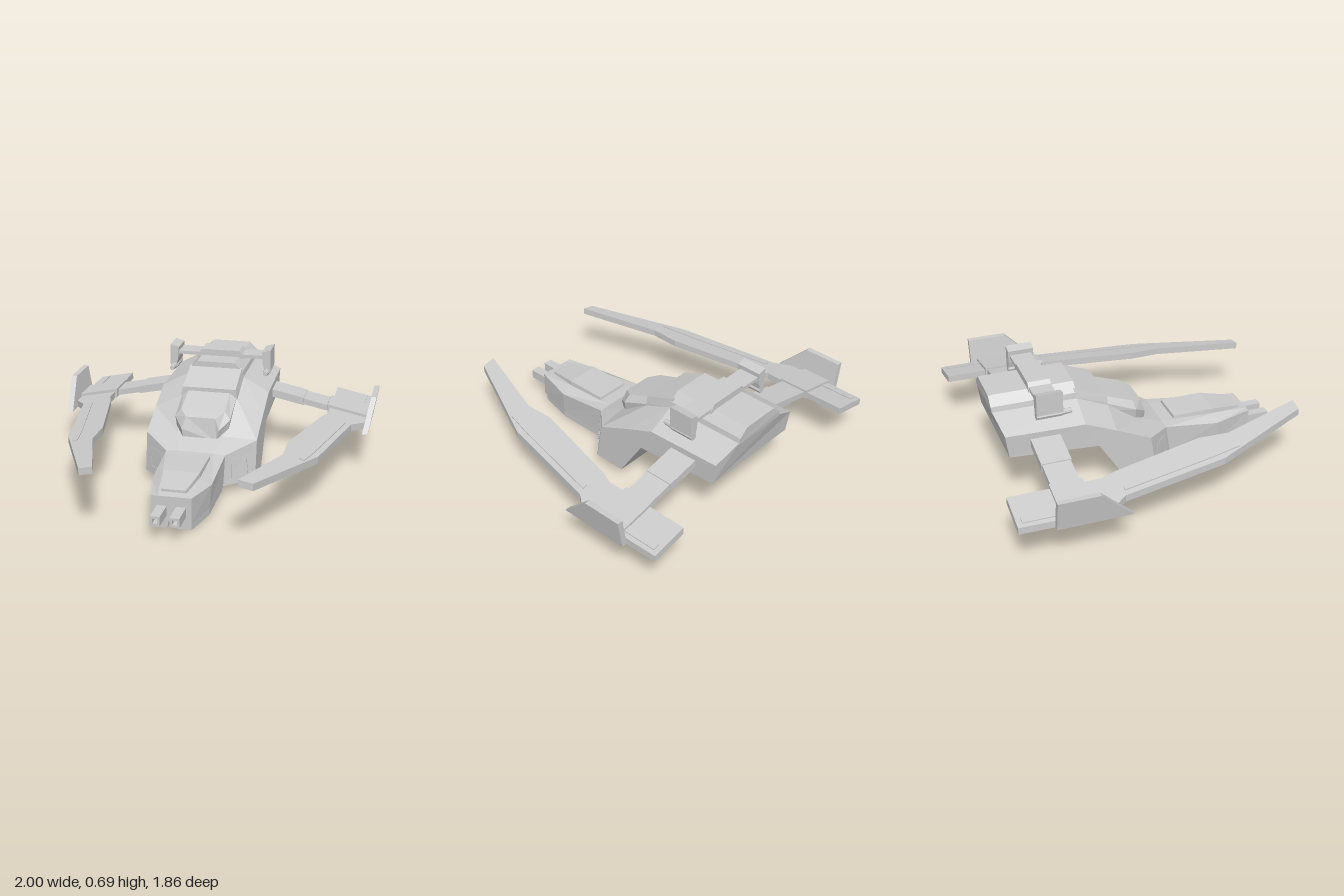
import * as THREE from 'three';

const material = new THREE.MeshStandardMaterial({ color: 0xcccccc, flatShading: true });

export function createModel() {
  const model = new THREE.Group();

  function add(name, geometry, parent = model) {
    const mesh = new THREE.Mesh(geometry, material);
    mesh.name = name;
    parent.add(mesh);
    return mesh;
  }

  function box(name, x0, x1, y0, y1, z0, z1, parent) {
    const g = new THREE.BoxGeometry(Math.abs(x1 - x0), y1 - y0, z1 - z0);
    g.translate((x0 + x1) / 2, (y0 + y1) / 2, (z0 + z1) / 2);
    return add(name, g, parent);
  }

  function extrude(points, depth, hole) {
    const shape = new THREE.Shape(points.map(([x, y]) => new THREE.Vector2(x, y)));
    if (hole) shape.holes.push(new THREE.Path(hole.map(([x, y]) => new THREE.Vector2(x, y))));
    return new THREE.ExtrudeGeometry(shape, { depth, bevelEnabled: false });
  }

  // Horizontal plate from an x,z outline
  function plate(points, y0, y1) {
    return extrude(points.map(([x, z]) => [x, -z]), y1 - y0).rotateX(-Math.PI / 2).translate(0, y0, 0);
  }

  function moveVertices(g, rule) {
    const p = g.attributes.position;
    const v = new THREE.Vector3();
    for (let i = 0; i < p.count; i++) {
      rule(v.fromBufferAttribute(p, i));
      p.setXYZ(i, v.x, v.y, v.z);
    }
    g.computeVertexNormals();
    return g;
  }

  // Symmetric loft, front to back, through half sections listed bottom to top as x,y,z
  function loft(sections) {
    const rings = sections.map(h => [...h, ...h.map(([x, y, z]) => [-x, y, z]).reverse()]);
    const n = rings[0].length;
    const out = [];
    for (let k = 0; k < rings.length - 1; k++) {
      for (let i = 0; i < n; i++) {
        const j = (i + 1) % n;
        const a = rings[k][i], b = rings[k][j], c = rings[k + 1][j], d = rings[k + 1][i];
        out.push(a, d, c, a, c, b);
      }
    }
    const last = rings[rings.length - 1];
    for (let i = 1; i < n - 1; i++) {
      out.push(rings[0][0], rings[0][i], rings[0][i + 1]);
      out.push(last[0], last[i + 1], last[i]);
    }
    const g = new THREE.BufferGeometry();
    g.setAttribute('position', new THREE.Float32BufferAttribute(out.flat(), 3));
    g.computeVertexNormals();
    return g;
  }

  // Main hull: narrow nose, flared shoulders, raised tail
  add('hull', loft([
    [[0.115, 0.05, 0.78], [0.115, 0.2, 0.78], [0.08, 0.2, 0.78]],
    [[0.165, 0.05, 0.55], [0.175, 0.19, 0.54], [0.11, 0.225, 0.56]],
    [[0.175, 0.05, 0.23], [0.18, 0.235, 0.2], [0.11, 0.24, 0.2]],
    [[0.34, 0.05, 0.08], [0.34, 0.285, 0.04], [0.14, 0.3, 0.06]],
    [[0.34, 0.05, -0.12], [0.34, 0.38, -0.17], [0.175, 0.46, -0.17]],
    [[0.34, 0.3, -0.28], [0.34, 0.46, -0.36], [0.18, 0.545, -0.36]],
    [[0.33, 0.33, -0.81], [0.335, 0.47, -0.83], [0.18, 0.55, -0.86]],
  ]));

  // Raised panel on the nose
  add('nosePanel', loft([
    [[0.075, 0.19, 0.73], [0.07, 0.222, 0.73]],
    [[0.112, 0.19, 0.54], [0.105, 0.255, 0.54]],
    [[0.112, 0.2, 0.27], [0.105, 0.255, 0.28]],
  ]));

  // Faceted canopy
  add('canopy', loft([
    [[0.1, 0.27, 0.085], [0.115, 0.34, 0.085], [0.09, 0.41, 0.065]],
    [[0.155, 0.29, 0.01], [0.17, 0.39, 0.01], [0.135, 0.435, 0]],
    [[0.17, 0.42, -0.18], [0.17, 0.47, -0.18], [0.13, 0.5, -0.18]],
  ]));

  // Sloped hatch and engine deck behind the canopy
  add('roofHatch', loft([
    [[0.178, 0.44, -0.17], [0.175, 0.475, -0.17], [0.165, 0.52, -0.17]],
    [[0.18, 0.52, -0.37], [0.178, 0.55, -0.37], [0.165, 0.6, -0.37]],
  ]));
  add('engineDeck', loft([
    [[0.18, 0.53, -0.36], [0.172, 0.58, -0.36], [0.12, 0.63, -0.36]],
    [[0.18, 0.54, -0.86], [0.172, 0.58, -0.865], [0.12, 0.63, -0.865]],
  ]));

  // Roof spoiler
  box('spoilerBar', -0.29, 0.29, 0.627, 0.648, -0.63, -0.5);
  add('spoilerCentre', extrude([[-0.16, 0.62], [0.16, 0.62], [0.12, 0.67], [-0.12, 0.67]], 0.135)
    .translate(0, 0, -0.633));

  for (const s of [1, -1]) {
    const side = s > 0 ? 'left' : 'right';
    const flip = pts => pts.map(([x, z]) => [s * x, z]);

    // Spoiler end plates with small guns
    add(side + 'SpoilerEnd', extrude(flip([[0.285, 0.56], [0.325, 0.56], [0.325, 0.69], [0.27, 0.675], [0.275, 0.6]]), 0.155)
      .translate(0, 0, -0.64));
    const gun = new THREE.CylinderGeometry(0.023, 0.023, 0.15, 8).rotateX(Math.PI / 2);
    add(side + 'RoofGun', gun.translate(s * 0.302, 0.55, -0.565));
    const muzzle = new THREE.CylinderGeometry(0.02, 0.014, 0.06, 8).rotateX(-Math.PI / 2);
    add(side + 'RoofMuzzle', muzzle.translate(s * 0.302, 0.55, -0.46));

    // Hollow square nose cannon
    const square = (r) => [[-r, -r], [r, -r], [r, r], [-r, r]];
    add(side + 'Cannon', extrude(square(0.028), 0.15, square(0.014)).translate(s * 0.055, 0.115, 0.78));

    // Belly skid with a chamfered edge
    const skid = flip([[0.025, 0.765], [0.11, 0.765], [0.165, 0.55], [0.165, 0.22], [0.12, 0.12], [0.025, 0.12]]);
    add(side + 'Skid', moveVertices(plate(skid, 0.012, 0.055), () => {}));
    add(side + 'SkidSole', plate(skid.map(([x, z]) => [s * 0.095 + (x - s * 0.095) * 0.9, 0.44 + (z - 0.44) * 0.98]), 0, 0.012));

    // Framed intake on the slanted shoulder
    const frame = extrude([[-0.065, -0.06], [0.065, -0.06], [0.06, 0.06], [-0.06, 0.06]], 0.012,
      [[-0.052, -0.048], [0.052, -0.048], [0.048, 0.048], [-0.048, 0.048]]);
    const intake = add(side + 'IntakeFrame', frame);
    intake.position.set(s * 0.252, 0.145, 0.134);
    intake.rotation.set(-0.12, s * 0.76, 0, 'YXZ');

    // Swept wing, built flat and then sheared downwards to the tip
    const wing = new THREE.Group();
    wing.name = side + 'Wing';
    model.add(wing);
    const droop = v => { v.y += 0.285 + (0.95 - Math.abs(v.x)) * 0.21; };
    const wingPlate = (name, pts, y0, y1) => add(name, moveVertices(plate(flip(pts), y0, y1), droop), wing);
    const wingBox = (name, x0, x1, z0, z1, y0, y1) =>
      wingPlate(name, [[x0, z0], [x1, z0], [x1, z1], [x0, z1]], y0, y1);

    wingPlate('blade', [
      [0.71, -0.93], [0.935, -0.93], [0.94, -0.41], [0.865, -0.31], [0.745, 0.33],
      [0.48, 0.925], [0.4, 0.925], [0.56, 0.43], [0.555, 0.25], [0.68, -0.31], [0.71, -0.39],
    ], -0.042, 0);
    wingPlate('bladeRidge', [
      [0.8, -0.3], [0.83, -0.3], [0.72, 0.28], [0.68, 0.45], [0.65, 0.44], [0.68, 0.26],
    ], -0.01, 0.006);
    wingBox('tailRidge', 0.87, 0.91, -0.9, -0.68, -0.01, 0.006);
    wingBox('innerArm', 0.3, 0.54, -0.685, -0.51, -0.035, 0.014);
    wingBox('middleArm', 0.54, 0.69, -0.68, -0.515, -0.03, 0.008);
    wingBox('armClamp', 0.695, 0.955, -0.69, -0.5, -0.04, 0.018);

    // Upright winglet leaning outwards
    const fin = extrude([[0.3, 0.248], [0.73, 0.248], [0.73, 0.43], [0.49, 0.43]], 0.034)
      .rotateY(Math.PI / 2);
    fin.translate(s > 0 ? 0 : -0.034, 0, 0);
    add('winglet', moveVertices(fin, v => { v.x += s * (0.935 + (v.y - 0.248) * 0.17); }), wing);
  }

  return model;
}
